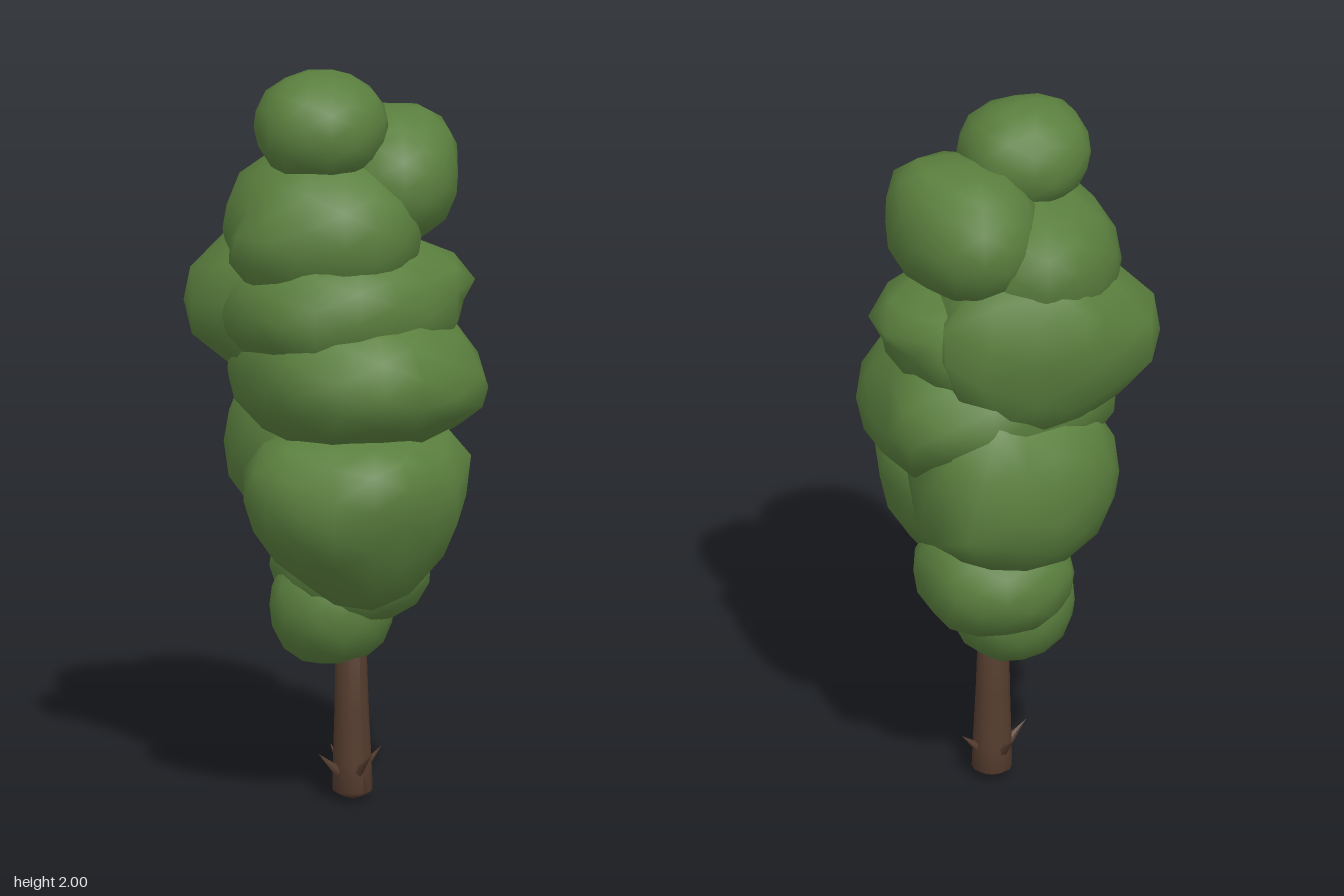
import * as THREE from 'three';
import { mergeVertices } from 'three/addons/utils/BufferGeometryUtils.js';

// Full, slightly lumpy superellipsoid; the vertex nearest each corner is dragged onto it,
// taking its neighbours along
function blobGeometry(center, radii, power, corners, seed) {
  let geo = new THREE.IcosahedronGeometry(1, 2);
  geo.deleteAttribute('normal');
  geo.deleteAttribute('uv');
  geo = mergeVertices(geo, 1e-4);
  const c = new THREE.Vector3(...center);
  const r = new THREE.Vector3(...radii);
  const pos = geo.attributes.position;
  const dirs = [];
  const points = [];
  for (let i = 0; i < pos.count; i++) {
    const d = new THREE.Vector3().fromBufferAttribute(pos, i).normalize();
    const reach = (Math.abs(d.x) ** power + Math.abs(d.y) ** power + Math.abs(d.z) ** power) ** (-1 / power);
    const lump = 1 + 0.02 * Math.sin(5 * d.x + seed * 1.7) * Math.cos(4 * d.y + seed)
      + 0.02 * Math.sin(6 * d.z + seed * 2.3 + 2 * d.x);
    dirs.push(d);
    points.push(d.clone().multiplyScalar(reach * lump).multiply(r).add(c));
  }
  for (const corner of corners) {
    const target = new THREE.Vector3(...corner);
    const aim = target.clone().sub(c).divide(r).normalize();
    const nearest = dirs.reduce((best, d, i) => (d.dot(aim) > dirs[best].dot(aim) ? i : best), 0);
    const drag = target.sub(points[nearest]);
    points.forEach((p, i) => {
      p.addScaledVector(drag, THREE.MathUtils.smoothstep(dirs[i].dot(dirs[nearest]), 0.7, 1));
    });
  }
  points.forEach((p, i) => pos.setXYZ(i, p.x, p.y, p.z));
  geo.computeVertexNormals();
  return geo;
}

export function createModel() {
  const tree = new THREE.Group();
  tree.name = 'tree';
  const leafGreen = new THREE.MeshStandardMaterial({ color: 0x5a7f3e });
  leafGreen.name = 'leafGreen';
  const barkBrown = new THREE.MeshStandardMaterial({ color: 0x553c2e });
  barkBrown.name = 'barkBrown';

  // Foliage clumps: name, centre, radii, squareness power, dragged corners
  const clumps = [
    ['crownTip', [-0.08, 1.85, -0.01], [0.18, 0.15, 0.17], 2.15, []],
    ['crownLeft', [0.13, 1.69, -0.04], [0.19, 0.19, 0.25], 2.1, [[0.28, 1.84, 0.03]]],
    ['crownRight', [-0.05, 1.56, -0.04], [0.26, 0.23, 0.28], 2.1,
      [[-0.33, 1.50, 0.04], [0.03, 1.68, -0.32]]],
    ['upperBack', [-0.03, 1.37, -0.12], [0.29, 0.28, 0.25], 2.15,
      [[-0.35, 1.36, -0.265], [0.03, 1.48, -0.385], [0.2, 1.45, -0.3]]],
    ['upperFront', [-0.01, 1.36, -0.02], [0.325, 0.19, 0.30], 2.4, [[0.30, 1.47, 0.06]]],
    ['middleFront', [0.01, 1.18, 0.02], [0.32, 0.21, 0.31], 2.6,
      [[0.255, 1.18, 0.28], [-0.11, 1.17, 0.37], [0.35, 1.05, 0.01], [0.30, 1.2, -0.24]]],
    ['lowerFront', [-0.04, 0.84, 0.10], [0.28, 0.22, 0.26], 2.3,
      [[-0.345, 0.95, 0.08], [0.25, 0.97, 0.14], [-0.05, 0.92, 0.387], [-0.03, 0.55, 0.17]]],
    ['lowerBack', [0.02, 0.96, -0.11], [0.28, 0.26, 0.26], 2.25,
      [[0.345, 0.92, -0.245], [0.28, 1.12, -0.24]]],
    ['bottomUpper', [0.03, 0.63, -0.03], [0.205, 0.16, 0.21], 2.3, []],
    ['bottom', [-0.03, 0.53, -0.03], [0.17, 0.165, 0.16], 2.1, []],
  ];
  const foliage = new THREE.Group();
  foliage.name = 'foliage';
  clumps.forEach(([name, center, radii, power, corners], i) => {
    const mesh = new THREE.Mesh(blobGeometry(center, radii, power, corners, i + 1), leafGreen);
    mesh.name = name + 'Clump';
    foliage.add(mesh);
  });
  tree.add(foliage);

  // Trunk: gently tapering, drifting slightly sideways towards the top
  const trunkGeo = new THREE.LatheGeometry(
    [[0, 0], [0.03, 0.01], [0.054, 0.025], [0.052, 0.1], [0.046, 0.25], [0.041, 0.45], [0, 0.46]]
      .map(([x, y]) => new THREE.Vector2(x, y)), 12);
  const tp = trunkGeo.attributes.position;
  for (let i = 0; i < tp.count; i++) {
    const y = tp.getY(i);
    tp.setX(i, tp.getX(i) + 0.008 - 0.02 * y);
    tp.setZ(i, tp.getZ(i) + 0.014 + 0.012 * y);
  }
  trunkGeo.computeVertexNormals();
  const trunk = new THREE.Mesh(trunkGeo, barkBrown);
  trunk.name = 'trunk';
  tree.add(trunk);

  // Short thin spikes pointing up and outwards around the foot of the trunk
  const spikeGeo = new THREE.ConeGeometry(0.017, 0.09, 5);
  for (let i = 0; i < 4; i++) {
    const a = (i * Math.PI) / 2;
    const dir = new THREE.Vector3(Math.cos(a), 0.9, Math.sin(a)).normalize();
    const spike = new THREE.Mesh(spikeGeo, barkBrown);
    spike.name = 'rootSpike';
    spike.quaternion.setFromUnitVectors(new THREE.Vector3(0, 1, 0), dir);
    spike.position.set(0.1 * Math.cos(a), 0.135, 0.015 + 0.1 * Math.sin(a)).addScaledVector(dir, -0.045);
    tree.add(spike);
  }
  return tree;
}
